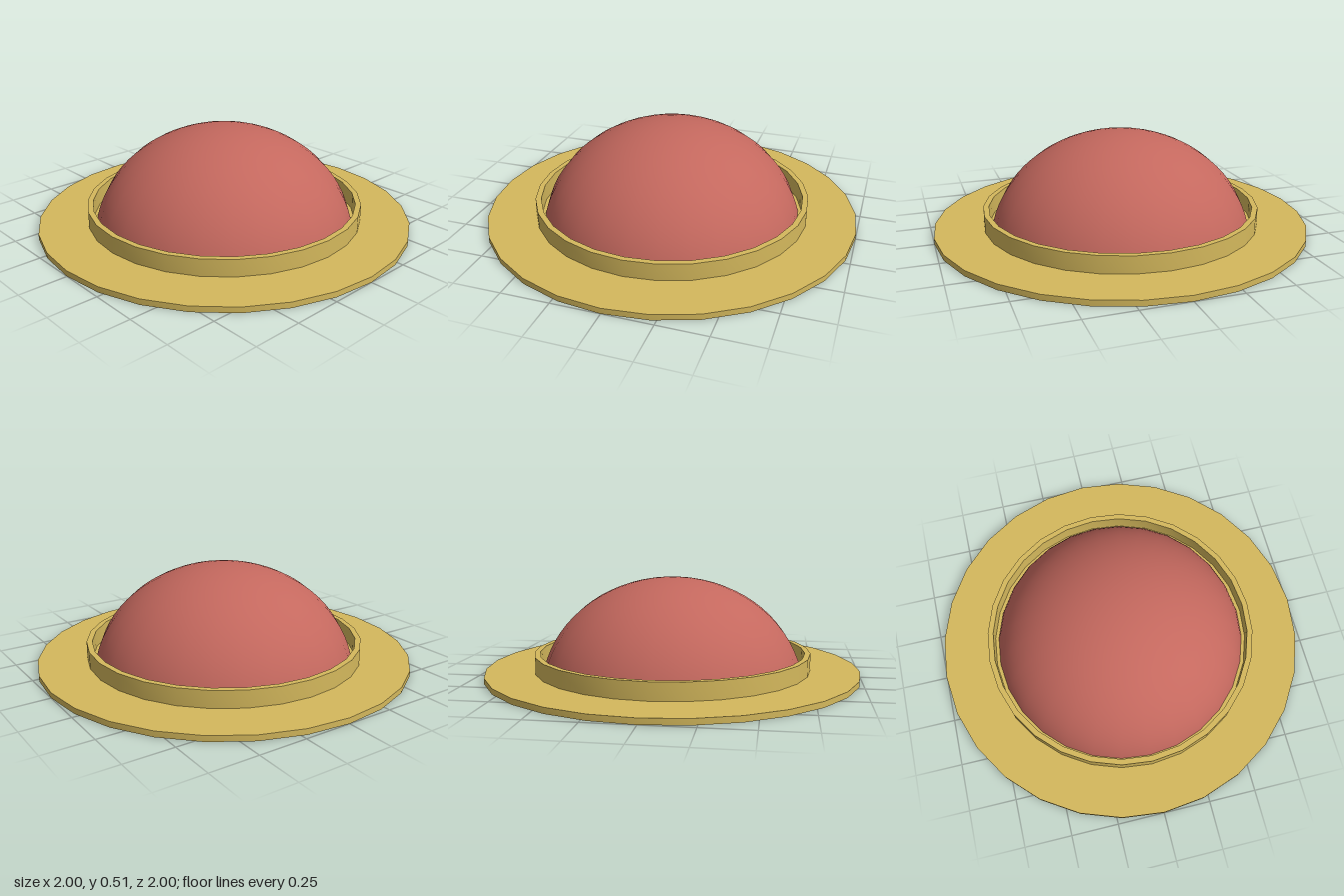
import * as THREE from 'three';
import { toCreasedNormals } from 'three/addons/utils/BufferGeometryUtils.js';

const SEGMENTS = 28;

// Flat-topped hoop with a rectangular cross-section
function hoop(name, inner, outer, bottom, top, material) {
  const profile = [
    [inner, bottom], [outer, bottom], [outer, top], [inner, top], [inner, bottom],
  ].map(([r, y]) => new THREE.Vector2(r, y));
  const geometry = toCreasedNormals(new THREE.LatheGeometry(profile, SEGMENTS), Math.PI / 6);
  const mesh = new THREE.Mesh(geometry, material);
  mesh.name = name;
  return mesh;
}

export function createModel() {
  const model = new THREE.Group();
  model.name = 'domedHat';
  const gold = new THREE.MeshStandardMaterial({ color: 0xd4b85c });
  const red = new THREE.MeshStandardMaterial({ color: 0xc4685e, side: THREE.DoubleSide });

  // Wide flat brim with an open centre, and the raised band standing on it
  model.add(hoop('brim', 0.66, 1, 0, 0.03, gold));
  model.add(hoop('band', 0.71, 0.74, 0.03, 0.12, gold));

  // Hollow dome: the cap of a flattened sphere, resting on the brim
  const centreY = -0.1, width = 0.707, height = 0.615, baseY = 0.03;
  const capAngle = Math.acos((baseY - centreY) / height);
  const capGeometry = new THREE.SphereGeometry(1, SEGMENTS, 16, 0, Math.PI * 2, 0, capAngle);
  capGeometry.scale(width, height, width);
  capGeometry.translate(0, centreY, 0);
  const dome = new THREE.Mesh(capGeometry, red);
  dome.name = 'dome';
  model.add(dome);

  return model;
}
